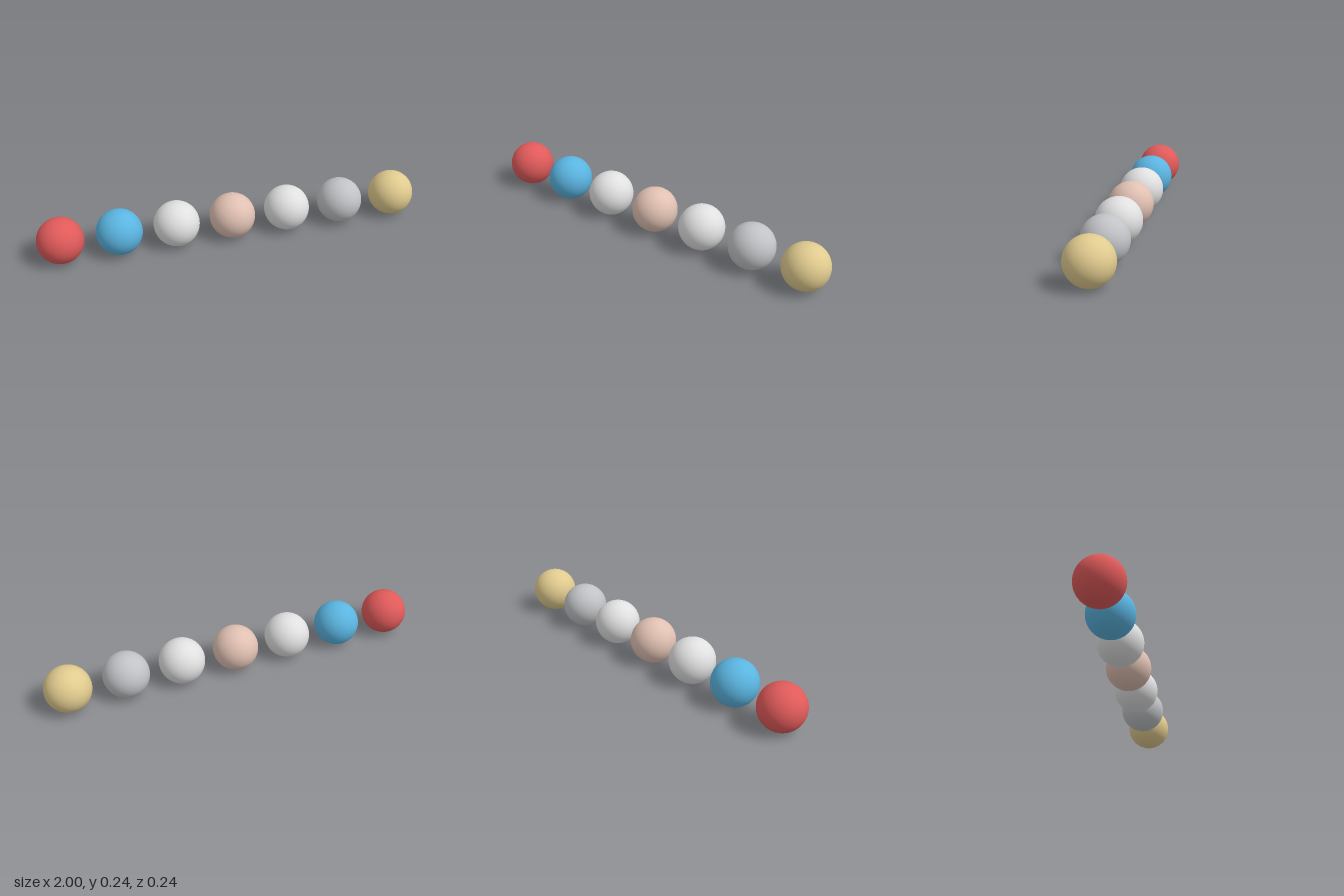
import * as THREE from 'three';

// Row of seven equal balls, listed from the model's right (-x) to its left (+x)
const COLORS = {
  red: 0xe05a5a,
  blue: 0x5ab4e0,
  white: 0xe0e0e0,
  blush: 0xe0c0b2,
  silver: 0xc0c2c5,
  gold: 0xe0ca8e,
};
const ROW = ['red', 'blue', 'white', 'blush', 'white', 'silver', 'gold'];

const SPACING = 2 / 6.8;
const RADIUS = SPACING * 0.4;

export function createModel() {
  const group = new THREE.Group();
  group.name = 'ballRow';

  const materials = {};
  for (const [name, color] of Object.entries(COLORS)) {
    materials[name] = new THREE.MeshStandardMaterial({ color });
    materials[name].name = name;
  }

  // All balls share one smooth sphere and rest on the ground
  const sphere = new THREE.SphereGeometry(RADIUS, 64, 48);
  ROW.forEach((color, i) => {
    const ball = new THREE.Mesh(sphere, materials[color]);
    ball.name = `${color}Ball${i + 1}`;
    ball.position.set((i - (ROW.length - 1) / 2) * SPACING, RADIUS, 0);
    group.add(ball);
  });

  return group;
}
